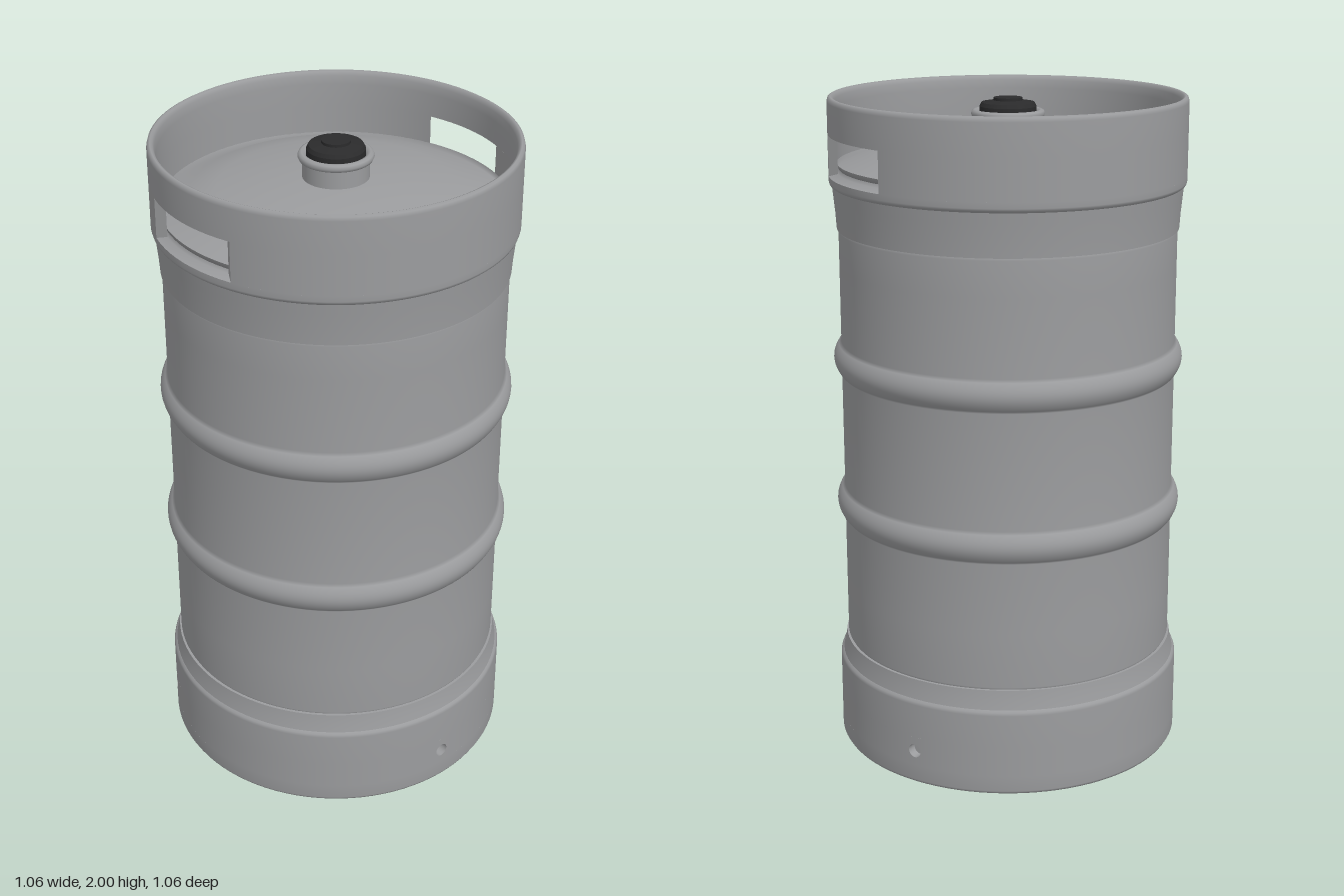
import * as THREE from 'three';
import { mergeGeometries } from 'three/addons/utils/BufferGeometryUtils.js';

const V = (x, y) => new THREE.Vector2(x, y);
const TAU = Math.PI * 2;

// One smooth turned strip; points run up the outside and inwards over the top
const strip = (pts, start = 0, sweep = TAU) =>
  new THREE.LatheGeometry(pts.map(p => V(p[0], p[1])), Math.max(4, Math.round(96 * sweep / TAU)), start, sweep);

// Several smooth strips with sharp edges between them
const turned = (...runs) => mergeGeometries(runs.map(r => strip(r)));

// Rounded rolling hoop pressed out of the side wall
function hoop(y) {
  const pts = [];
  for (let i = 0; i <= 12; i++) {
    const t = i / 12 * 2 - 1;
    pts.push([0.505 + 0.023 * Math.pow(Math.cos(t * Math.PI / 2), 0.8), y + t * 0.05]);
  }
  return pts;
}

// Curved wall panel with a round drain hole
function drainPanel(phi, half, y0, y1, R, depth) {
  const s = new THREE.Shape();
  const w = half * R, n = 8;
  s.moveTo(-w, y0);
  for (let i = 1; i <= n; i++) s.lineTo(-w + 2 * w * i / n, y0);
  for (let i = 0; i <= n; i++) s.lineTo(w - 2 * w * i / n, y1);
  s.closePath();
  const hole = new THREE.Path();
  hole.absarc(0, (y0 + y1) / 2, 0.021, 0, TAU, true);
  s.holes.push(hole);
  const g = new THREE.ExtrudeGeometry(s, { depth, bevelEnabled: false, curveSegments: 20 });
  const p = g.attributes.position, nor = g.attributes.normal;
  for (let i = 0; i < p.count; i++) {
    const a = phi + p.getX(i) / R, r = R - depth + p.getZ(i);
    const nx = nor.getX(i), ny = nor.getY(i), nz = nor.getZ(i);
    p.setXYZ(i, Math.sin(a) * r, p.getY(i), Math.cos(a) * r);
    nor.setXYZ(i, nx * Math.cos(a) + nz * Math.sin(a), ny, -nx * Math.sin(a) + nz * Math.cos(a));
  }
  return g;
}

export function createModel() {
  const model = new THREE.Group();
  const steel = new THREE.MeshStandardMaterial({ color: 0x9b9c9e, side: THREE.DoubleSide });
  steel.name = 'steel';
  const black = new THREE.MeshStandardMaterial({ color: 0x2b2b2c });
  black.name = 'blackRubber';
  const add = (name, geometry, material = steel) => {
    const m = new THREE.Mesh(geometry, material);
    m.name = name;
    model.add(m);
  };

  // Side wall with two hoops
  add('body', strip([[0.5, 0.325], [0.505, 0.335], [0.505, 0.5], ...hoop(0.77), [0.505, 0.995],
    ...hoop(1.22), [0.505, 1.5], [0.505, 1.605], [0.5, 1.615]]));

  // Foot ring, below and above the drain holes
  const yA = 0.06, yB = 0.15, R = 0.53;
  add('footRing', turned(
    [[0, 0], [0.515, 0]],
    [[0.515, 0], [0.525, 0.003], [R, 0.012], [R, yA]],
    [[R, yB], [R, 0.255], [0.527, 0.264], [0.521, 0.27]],
    [[0.521, 0.27], [0.514, 0.3], [0.51, 0.328]],
    [[0.51, 0.328], [0.498, 0.328]]));
  add('footRingCore', strip([[0.5, 0.02], [0.5, 0.32]]));

  // Three evenly spaced drain holes, with plain wall between them
  const half = 0.08;
  for (let i = 0; i < 3; i++) {
    const phi = Math.PI / 2 + i * TAU / 3;
    add('drainHolePanel', drainPanel(phi, half, yA, yB, R, 0.028));
    add('footRingWall', strip([[R, yA], [R, yB]], phi + half, TAU / 3 - 2 * half));
  }

  // Collar below and above the hand holes
  const h0 = 1.77, h1 = 1.89, rIn = 0.505;
  add('collarLower', turned(
    [[0.498, 1.613], [0.51, 1.613]],
    [[0.51, 1.613], [0.513, 1.66], [0.518, 1.71], [0.521, 1.74]],
    [[0.521, 1.74], [0.528, 1.746], [R, 1.753], [R, h0]],
    [[R, h0], [rIn, h0 + 0.01], [0.5, 1.79]]));
  add('collarRim', turned(
    [[rIn, h1], [R, h1]],
    [[R, h1], [R, 1.985], [0.527, 1.996], [0.52, 2], [0.513, 1.997], [0.508, 1.985], [rIn, 1.96], [rIn, h1]]));

  // Collar sides between the front and back hand holes
  const gapOut = 0.337, gapIn = 0.29;
  for (const side of [0, Math.PI]) {
    add('collarSide', mergeGeometries([
      strip([[R, h0], [R, h1]], side + gapOut, Math.PI - 2 * gapOut),
      strip([[rIn, h1], [rIn, h0]], side + gapIn, Math.PI - 2 * gapIn)]));
    for (const s of [-1, 1]) {
      const at = (r, a, y) => [r * Math.sin(side + s * a), y, r * Math.cos(side + s * a)];
      const jamb = new THREE.BufferGeometry();
      jamb.setAttribute('position', new THREE.Float32BufferAttribute([
        ...at(R, gapOut, h0), ...at(rIn, gapIn, h0), ...at(rIn, gapIn, h1), ...at(R, gapOut, h1)], 3));
      jamb.setIndex(s > 0 ? [0, 2, 1, 0, 3, 2] : [0, 1, 2, 0, 2, 3]);
      jamb.computeVertexNormals();
      add('handHoleJamb', jamb);
    }
  }

  // Domed top inside the collar
  add('domedTop', strip([[rIn, 1.805], [0.5, 1.79], [0.42, 1.832], [0.34, 1.85],
    [0.22, 1.87], [0.1, 1.88], [0, 1.882]]));

  // Valve neck with a rolled lip
  add('valveNeck', turned(
    [[0.096, 1.87], [0.096, 1.93]],
    [[0.096, 1.93], [0.105, 1.934], [0.109, 1.943], [0.106, 1.952], [0.098, 1.956], [0.089, 1.953], [0.085, 1.945]],
    [[0.085, 1.945], [0.085, 1.92]]));

  // Black valve with a raised centre button
  add('valve', turned(
    [[0.084, 1.93], [0.084, 1.965]],
    [[0.084, 1.965], [0.078, 1.976]],
    [[0.078, 1.976], [0.042, 1.982]],
    [[0.042, 1.982], [0.042, 1.99]],
    [[0.042, 1.99], [0, 1.99]]), black);

  return model;
}
